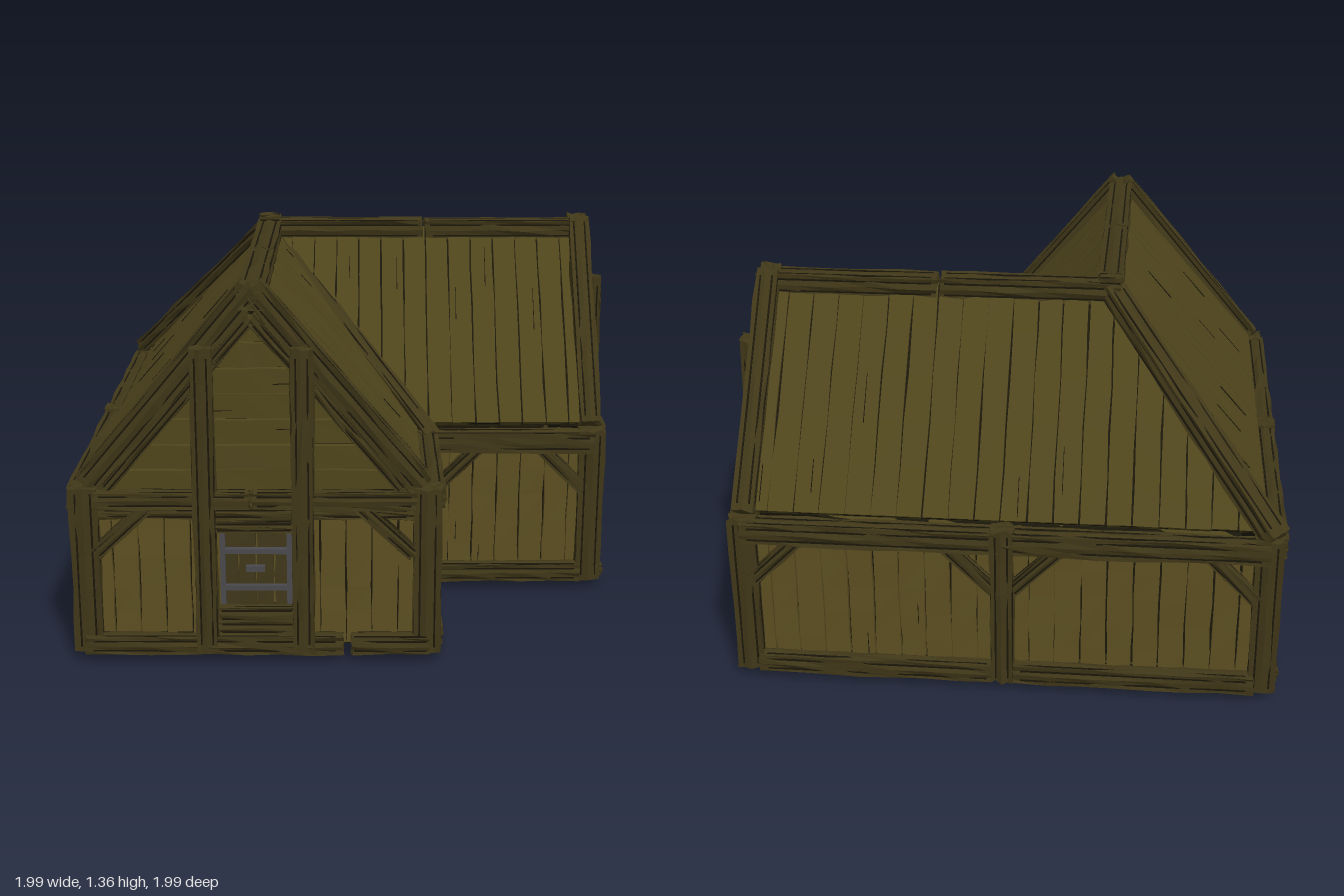
import * as THREE from 'three';
import { mergeGeometries } from 'three/addons/utils/BufferGeometryUtils.js';

const V = (x, y, z) => new THREE.Vector3(x, y, z);
const WALL = 0x5c4f21, ROOF = 0x4f451c, LEAF = 0x40371a, BEAM = 0x403718, DARK = 0x1a160a, IRON = 0x4a4a4e;
const R = -0.335, EAVE = 0.568, TOP = 1.31, SLOPE = 1.15;
const roofY = d => TOP - SLOPE * d;

export function createModel() {
  const group = new THREE.Group();
  const parts = {};
  let seed = 7;
  const rnd = () => (seed = (seed * 16807) % 2147483647) / 2147483647;
  const hash = (x, y, z, s) => {
    const v = Math.sin(Math.round(x * 1e4) * 12.99 + Math.round(y * 1e4) * 78.23 + Math.round(z * 1e4) * 37.72 + s) * 43758.545;
    return v - Math.floor(v) - 0.5;
  };
  const put = (name, color, geo) => (parts[name] ??= { color, list: [] }).list.push(geo);

  // Board spanning the quad a-b (one end) to d-c (other end), thickness t
  function slab(name, color, a, b, c, d, t, wobble = 0) {
    const geo = new THREE.BoxGeometry(1, 1, 1, 1, wobble ? 5 : 1, 1), p = geo.attributes.position;
    const n = b.clone().sub(a).add(c).sub(d).cross(d.clone().sub(a).add(c).sub(b)).normalize();
    const s = rnd() * 100, along = b.clone().sub(a).add(c).sub(d).normalize();
    for (let i = 0; i < p.count; i++) {
      const u = p.getX(i) + 0.5, v = p.getY(i) + 0.5, w = p.getZ(i);
      const q = a.clone().lerp(b, u).lerp(d.clone().lerp(c, u), v).addScaledVector(n, w * t);
      q.addScaledVector(along, wobble * hash(u, v, 0, s)).addScaledVector(n, wobble * 0.6 * hash(u, v, 1, s));
      p.setXYZ(i, q.x, q.y, q.z);
    }
    geo.computeVertexNormals();
    put(name, color, geo);
  }

  // Board with inset edges and a chance of a dark split along it
  function board(name, color, a, b, c, d, t) {
    const g = 0.028;
    const [a2, b2] = [a.clone().lerp(b, g), b.clone().lerp(a, g)], [d2, c2] = [d.clone().lerp(c, g), c.clone().lerp(d, g)];
    slab(name, color, a2, b2, c2, d2, t, 0.006);
    if (rnd() < 0.35) {
      const u = 0.25 + rnd() * 0.5, v = rnd() * 0.7, w = v + 0.1 + rnd() * 0.12;
      const at = (x, y) => a.clone().lerp(b, x).lerp(d.clone().lerp(c, x), y);
      slab('boardSplits', DARK, at(u, v), at(u + 0.03, v), at(u + 0.04, w), at(u + 0.02, w), t + 0.006);
    }
  }

  // Rough hewn timber from p to q with dark grain; h is measured along ref, w across it
  function beam(name, p, q, w, h, ref) {
    const dir = q.clone().sub(p), L = dir.length(), s = rnd() * 100;
    const geo = new THREE.BoxGeometry(w, L, h, 4, Math.max(2, Math.round(L / 0.12)), 4), pos = geo.attributes.position;
    for (let i = 0; i < pos.count; i++) {
      let x = pos.getX(i), y = pos.getY(i), z = pos.getZ(i);
      const kx = Math.round((x / w + 0.5) * 4), kz = Math.round((z / h + 0.5) * 4);
      const jx = hash(x, y, z, s) * 0.008, jz = hash(x, y, z, s + 5) * 0.008;
      const jy = Math.abs(y) > L / 2 - 1e-4 ? hash(x, y, z, s + 9) * 0.012 : 0;
      const groove = 0.86, corner = 0.92;
      if (kx % 4 === 0 && kz % 4 === 0) { x *= corner; z *= corner; }
      else if (kx % 2) z *= groove;
      else if (kz % 2) x *= groove;
      pos.setXYZ(i, x + jx, y + jy, z + jz);
    }
    geo.computeVertexNormals();
    dir.normalize();
    const zAxis = ref.clone().addScaledVector(dir, -ref.dot(dir)).normalize();
    const m = new THREE.Matrix4().makeBasis(dir.clone().cross(zAxis), dir, zAxis);
    m.setPosition(p.clone().add(q).multiplyScalar(0.5));
    put(name, BEAM, geo.applyMatrix4(m));
    for (const k of [-0.25, 0.25]) {
      put('beamGrain', DARK, new THREE.BoxGeometry(0.006, L * 0.94, h * 0.92).translate(k * w, 0, 0).applyMatrix4(m));
      put('beamGrain', DARK, new THREE.BoxGeometry(w * 0.92, L * 0.94, 0.006).translate(0, 0, k * h).applyMatrix4(m));
    }
  }

  // Each wing is described by a (across), y, b (along); the second swaps x and z
  const wings = [(a, y, b) => V(a, y, b), (a, y, b) => V(b, y, a)];
  wings.forEach((m, wing) => {
    const across = m(1, 0, 0), along = m(0, 0, 1), up = V(0, 1, 0);

    // Side walls with boards, eave beams, braces and ground beams
    function sideWall(a, out, b0, b1, bays) {
      slab('wallBacking', DARK, m(a - out * 0.02, 0.05, b0), m(a - out * 0.02, 0.05, b1), m(a - out * 0.02, 0.63, b1), m(a - out * 0.02, 0.63, b0), 0.015);
      const n = Math.round((b1 - b0) / 0.09), step = (b1 - b0) / n;
      for (let i = 0; i < n; i++) {
        const s = b0 + i * step, e = s + step;
        board('wallBoards', WALL, m(a, 0.07, s), m(a, 0.07, e), m(a, 0.59, e), m(a, 0.59, s), 0.025);
      }
      const bay = (b1 - b0) / bays, o = a + out * 0.025;
      for (let i = 0; i < bays; i++) {
        const s = b0 + i * bay, e = s + bay;
        beam('eaveBeams', m(o, 0.605, s), m(o, 0.605, e), 0.08, 0.085, up);
        beam('groundBeams', m(o, 0.075, s + 0.03), m(o, 0.075, e - 0.04), 0.08, 0.075, up);
        beam('braces', m(o, 0.41, s + 0.03), m(o, 0.61, s + 0.23), 0.052, 0.05, across);
        beam('braces', m(o, 0.41, e - 0.03), m(o, 0.61, e - 0.23), 0.052, 0.05, across);
        if (i) beam('wallPosts', m(o, 0.045, s), m(o, 0.655, s), 0.085, 0.085, across);
      }
    }
    sideWall(-0.92, -1, -0.92, 0.92, 2);
    sideWall(0.26, 1, 0.28, 0.92, 1);

    // Roof slopes: boards run from eave to ridge, cut by the hip and the valley
    for (const side of [-1, 1]) {
      const point = (d, b) => m(R + side * d, roofY(d), b);
      const hi = b => (side < 0 ? Math.max(0, R - b) : 0);
      const lo = b => (side < 0 ? EAVE : Math.min(EAVE, Math.max(0, b - R)));
      const b0 = side < 0 ? R - EAVE : R, n = side < 0 ? 20 : 14, step = (0.92 - b0) / n;
      for (let i = 0; i < n; i++) {
        const s = b0 + i * step, e = s + step;
        const quad = [point(lo(s), s), point(lo(e), e), point(hi(e), e), point(hi(s), s)];
        board('roofBoards', ROOF, ...quad, 0.03);
        slab('roofBacking', DARK, ...quad, 0.012);
      }

      // Gable rafters and the thinner trim inside them
      beam('gableRafters', m(R + side * 0.578, 0.653, 0.91), m(R + side * 0.002, 1.342, 0.91), 0.09, 0.085, along);
      beam('gableTrim', m(R + side * 0.52, 0.63, 0.93), m(R, 1.245, 0.93), 0.04, 0.05, along);

      // Tall studs and lower braces of the gable
      beam('gableStuds', m(R + side * 0.168, 0.05, 0.953), m(R + side * 0.168, 1.15, 0.953), 0.08, 0.075, along);
      beam('braces', m(R + side * 0.55, 0.41, 0.94), m(R + side * 0.34, 0.61, 0.94), 0.052, 0.05, along);
    }

    // Ridge in two lengths
    beam('ridgeBeams', m(R, 1.31, R), m(R, 1.31, 0.28), 0.1, 0.085, up);
    beam('ridgeBeams', m(R, 1.31, 0.29), m(R, 1.31, 0.95), 0.1, 0.085, up);

    // Gable wall: upright boards below the tie beam, level boards above
    const G = 0.915, half = y => Math.max(0.01, (1.27 - y) / SLOPE - 0.01);
    slab('wallBacking', DARK, m(-0.92, 0.05, 0.895), m(0.25, 0.05, 0.895), m(0.25, 0.64, 0.895), m(-0.92, 0.64, 0.895), 0.012);
    slab('wallBacking', DARK, m(R - half(0.62), 0.62, 0.895), m(R + half(0.62), 0.62, 0.895), m(R + 0.01, 1.27, 0.895), m(R - 0.01, 1.27, 0.895), 0.012);
    for (let i = 0; i < 13; i++) {
      const s = -0.92 + i * 0.09, e = s + 0.09;
      board('wallBoards', WALL, m(s, 0.07, G), m(e, 0.07, G), m(e, 0.6, G), m(s, 0.6, G), 0.025);
    }
    for (let y = 0.62; y < 1.24; y += 0.09) {
      const t = Math.min(1.26, y + 0.09);
      board('gableBoards', ROOF, m(R - half(y), y, G), m(R - half(t), t, G), m(R + half(t), t, G), m(R + half(y), y, G), 0.025);
    }
    beam('tieBeams', m(-0.88, 0.61, 0.945), m(-0.35, 0.61, 0.945), 0.065, 0.065, along);
    beam('tieBeams', m(-0.34, 0.61, 0.945), m(0.22, 0.61, 0.945), 0.065, 0.065, along);
    beam('tieBeams', m(-0.88, 0.56, 0.935), m(0.22, 0.56, 0.935), 0.045, 0.05, along);
    beam('lintels', m(-0.47, 0.515, 0.945), m(-0.2, 0.515, 0.945), 0.045, 0.06, along);

    const iron = (a0, y0, a1, y1, w) => slab(wing ? 'doorIron' : 'windowBars', IRON,
      ...[[a0 - w[0], y0 - w[1]], [a1 + w[0], y0 - w[1]], [a1 + w[0], y1 + w[1]], [a0 - w[0], y1 + w[1]]].map(([a, y]) => m(a, y, 0.958)), 0.02);
    const leaf = (name, y0, y1) => {
      for (let i = 0; i < 4; i++) {
        const s = -0.455 + i * 0.0625, e = s + 0.0625;
        board(name, LEAF, m(s, y0, 0.935), m(e, y0, 0.935), m(e, y1, 0.935), m(s, y1, 0.935), 0.025);
      }
    };
    if (wing) {
      // Door with iron straps, and a low doorstep beam beside it
      leaf('door', 0.08, 0.5);
      for (const [y, h] of [[0.42, 0.024], [0.29, 0.012], [0.145, 0.024]]) iron(-0.455, y, -0.22, y, [0, h]);
      iron(-0.215, 0.09, -0.215, 0.49, [0.009, 0]);
      beam('groundBeams', m(-0.86, 0.065, 0.918), m(-0.54, 0.065, 0.918), 0.1, 0.08, along);
      beam('groundBeams', m(-0.53, 0.065, 0.94), m(0.27, 0.065, 0.94), 0.055, 0.08, along);
    } else {
      // Barred window with a boarded sill
      leaf('windowShutter', 0.22, 0.5);
      for (const a of [-0.445, -0.215]) iron(a, 0.23, a, 0.49, [0.009, 0]);
      for (const y of [0.425, 0.29]) iron(-0.445, y, -0.215, y, [0, 0.009]);
      iron(-0.365, 0.36, -0.3, 0.36, [0, 0.01]);
      beam('windowSill', m(-0.46, 0.19, 0.945), m(-0.2, 0.19, 0.945), 0.06, 0.06, along);
      beam('windowSill', m(-0.46, 0.135, 0.94), m(-0.2, 0.135, 0.94), 0.055, 0.05, along);
      beam('groundBeams', m(-0.93, 0.075, 0.945), m(-0.03, 0.075, 0.945), 0.07, 0.08, along);
      beam('groundBeams', m(0.0, 0.075, 0.945), m(0.27, 0.075, 0.945), 0.07, 0.08, along);
    }
  });

  // Corner posts
  for (const [x, z] of [[-0.92, 0.915], [0.262, 0.915], [0.915, 0.262], [0.915, -0.92], [-0.92, -0.92], [0.26, 0.26]])
    beam('cornerPosts', V(x, 0.045, z), V(x, 0.65, z), 0.105, 0.105, V(0, 0, 1));

  // Hip, valley and the block where the ridges meet
  beam('hipBeam', V(-0.94, 0.655, -0.94), V(R, 1.32, R), 0.095, 0.07, V(0, 1, 0));
  beam('valleyBeam', V(R, 1.305, R), V(0.295, 0.625, 0.295), 0.08, 0.05, V(0, 1, 0));
  beam('ridgeBlock', V(R - 0.04, 1.33, R), V(R + 0.04, 1.33, R), 0.085, 0.08, V(0, 1, 0));

  // Floor boards in staggered lengths, set above the underside of the ground beams
  for (let i = 0; i < 26; i++) {
    const z0 = -0.92 + i * 0.0706, z1 = z0 + 0.0706, end = z1 < 0.29 ? 0.92 : 0.26;
    const cuts = [-0.92, -0.55 + (i % 3) * 0.2, end - 0.5 + (i % 2) * 0.25, end];
    for (let k = 0; k < 3; k++)
      board('floorBoards', ROOF, V(cuts[k] + 0.003, 0.07, z0), V(cuts[k] + 0.003, 0.07, z1), V(cuts[k + 1], 0.07, z1), V(cuts[k + 1], 0.07, z0), 0.02);
  }
  slab('floorBacking', DARK, V(-0.92, 0.076, -0.92), V(-0.92, 0.076, 0.92), V(0.26, 0.076, 0.92), V(0.26, 0.076, -0.92), 0.008);
  slab('floorBacking', DARK, V(0.26, 0.076, -0.92), V(0.26, 0.076, 0.26), V(0.92, 0.076, 0.26), V(0.92, 0.076, -0.92), 0.008);

  for (const [name, { color, list }] of Object.entries(parts)) {
    const mesh = new THREE.Mesh(mergeGeometries(list), new THREE.MeshStandardMaterial({ color, flatShading: true }));
    mesh.name = name;
    group.add(mesh);
  }
  return group;
}
